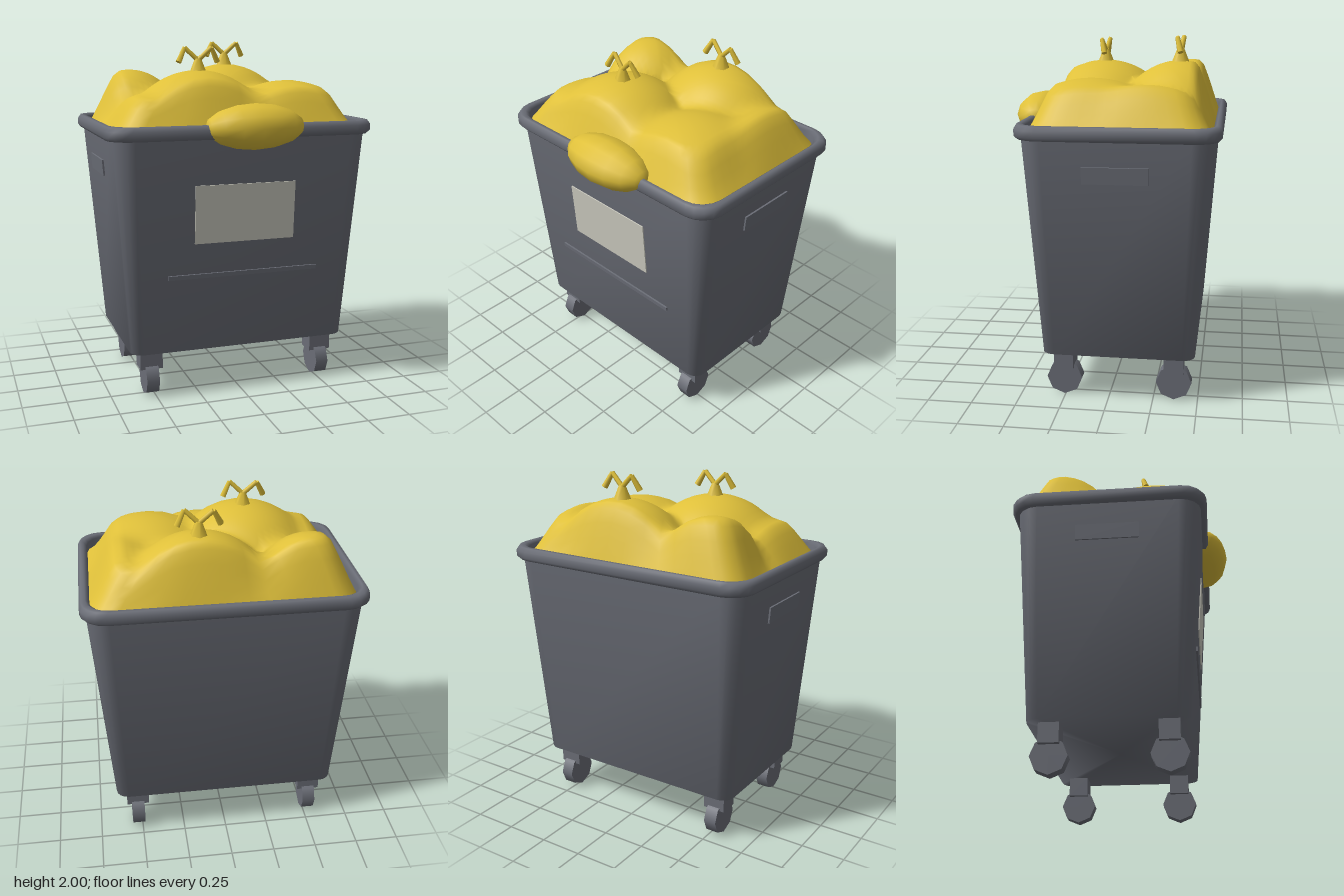
import * as THREE from 'three';

const mat = (name, color, side = THREE.FrontSide) => {
  const m = new THREE.MeshStandardMaterial({ color, side });
  m.name = name;
  return m;
};

// Rounded rectangle in the xz plane, with each straight side split into `split` pieces
function outline(hw, hd, r, y, split = 1) {
  const pts = [];
  const corners = [[1, 1], [-1, 1], [-1, -1], [1, -1]];
  const arc = 4;
  corners.forEach(([sx, sz], k) => {
    for (let i = 0; i <= arc; i++) {
      const a = (k + i / arc) * Math.PI / 2;
      pts.push(new THREE.Vector3(sx * (hw - r) + r * Math.cos(a), y, sz * (hd - r) + r * Math.sin(a)));
    }
    const [nx, nz] = corners[(k + 1) % 4];
    const a = (k + 1) * Math.PI / 2;
    const end = new THREE.Vector3(nx * (hw - r) + r * Math.cos(a), y, nz * (hd - r) + r * Math.sin(a));
    const start = pts[pts.length - 1];
    for (let i = 1; i < split; i++) pts.push(start.clone().lerp(end, i / split));
  });
  return pts;
}

// Smooth skin through a stack of closed rings
function loft(rings) {
  const n = rings[0].length, index = [];
  for (let i = 0; i < rings.length - 1; i++) {
    for (let j = 0; j < n; j++) {
      const k = (j + 1) % n;
      const a = i * n + j, b = i * n + k, c = a + n, d = b + n;
      index.push(a, c, b, b, c, d);
    }
  }
  const geo = new THREE.BufferGeometry().setFromPoints(rings.flat());
  geo.setIndex(index);
  geo.computeVertexNormals();
  return geo;
}

// Bulging bags: centre x, z, height, radius x, radius z
const MOUNDS = [
  [-0.18, 0.12, 0.34, 0.42, 0.42], [0.13, -0.35, 0.36, 0.42, 0.38],
  [-0.47, -0.38, 0.33, 0.34, 0.34], [0.36, 0.12, 0.275, 0.42, 0.45],
  [0.56, -0.2, 0.26, 0.28, 0.42], [-0.56, 0.18, 0.21, 0.32, 0.42],
];
function moundHeight(x, z) {
  let sum = 0.1 ** 10;
  for (const [cx, cz, h, rx, rz] of MOUNDS) {
    const d2 = ((x - cx) / rx) ** 2 + ((z - cz) / rz) ** 2;
    if (d2 < 1) sum += (h * (1 - d2) ** 0.6) ** 10;
  }
  return Math.min(0.36, sum ** 0.1);
}

export function createModel() {
  const group = new THREE.Group();
  const grey = mat('binGrey', 0x6a6d76, THREE.DoubleSide);
  const yellow = mat('bagYellow', 0xdfc03a, THREE.DoubleSide);
  const cream = mat('labelCream', 0xcac9be);
  const CZ = -0.0575; // centre of the bin in z

  const add = (name, geo, m, x = 0, y = 0, z = 0, parent = group) => {
    const mesh = new THREE.Mesh(geo, m);
    mesh.name = name;
    mesh.position.set(x, y, z);
    parent.add(mesh);
    return mesh;
  };

  // Tapered tub with closed floor
  add('tub', loft([
    outline(0, 0, 0, 0.27),
    outline(0.645, 0.425, 0.07, 0.27),
    outline(0.745, 0.515, 0.12, 1.5),
  ]), grey, 0, 0, CZ);

  // Rolled rim
  add('rim', loft([
    [0.735, 0.505, 1.48], [0.76, 0.533, 1.482], [0.775, 0.5475, 1.5], [0.775, 0.5475, 1.535],
    [0.762, 0.535, 1.558], [0.74, 0.515, 1.56], [0.722, 0.5, 1.545], [0.718, 0.496, 1.44],
  ].map(([w, d, y]) => outline(w, d, 0.13, y))), grey, 0, 0, CZ);

  // Heap of bags filling the tub
  const rings = [];
  const STEPS = 20;
  for (let i = 0; i <= STEPS; i++) {
    const s = 1 - i / STEPS;
    const t = Math.min(1, (1 - s) / 0.22);
    const edge = t * (1.3 - 0.3 * t);
    rings.push(outline(0.72, 0.5, 0.13, 0, 10).map((p) => {
      const x = p.x * s, z = p.z * s;
      return new THREE.Vector3(x, 1.5 + edge * moundHeight(x, z + CZ), z);
    }));
  }
  add('bagHeap', loft(rings), yellow, 0, 0, CZ);

  // Bag hanging over the front rim
  const bag = add('overhangingBag', new THREE.SphereGeometry(1, 12, 8), yellow, 0.045, 1.543, 0.453);
  bag.rotation.z = Math.PI / 2;
  bag.scale.set(0.128, 0.285, 0.152);

  // Tied knots with two bent ears
  const strand = (parent, a, b, r0, r1) => {
    const dir = b.clone().sub(a);
    const m = add('knotEar', new THREE.CylinderGeometry(r1, r0, dir.length(), 6), yellow, 0, 0, 0, parent);
    m.position.copy(a).addScaledVector(dir, 0.5);
    m.quaternion.setFromUnitVectors(new THREE.Vector3(0, 1, 0), dir.normalize());
  };
  for (const [x, y, z] of [[-0.18, 1.83, 0.12], [0.13, 1.855, -0.35]]) {
    const knot = new THREE.Group();
    knot.name = 'bagKnot';
    knot.position.set(x, y, z);
    group.add(knot);
    add('knotBase', new THREE.CylinderGeometry(0.018, 0.05, 0.08, 6), yellow, 0, 0.035, 0, knot);
    for (const s of [-1, 1]) {
      const a = new THREE.Vector3(0, 0.065, 0);
      const b = new THREE.Vector3(s * 0.075, 0.135, s * 0.014);
      const c = new THREE.Vector3(s * 0.116, 0.055, -s * 0.006);
      strand(knot, a, b, 0.014, 0.013);
      strand(knot, b, c, 0.013, 0.018);
    }
  }

  // Label and raised rib on the sloping front
  const frontZ = (y) => CZ + 0.425 + (y - 0.27) / 1.23 * 0.09;
  const tiltX = Math.atan(0.09 / 1.23);
  add('frontLabel', new THREE.BoxGeometry(0.585, 0.33, 0.008), cream, 0, 1.065, frontZ(1.065) + 0.002).rotation.x = tiltX;
  add('frontRib', new THREE.BoxGeometry(0.885, 0.025, 0.016), grey, 0, 0.713, frontZ(0.713) + 0.002).rotation.x = tiltX;

  for (const sx of [-1, 1]) {
    // Side grip plates
    const grip = add('sideGrip', new THREE.BoxGeometry(0.016, 0.09, 0.35), grey, sx * 0.731, 1.305, CZ);
    grip.rotation.z = -sx * Math.atan(0.1 / 1.23);

    // Casters
    for (const z of [0.255, -0.365]) {
      add('casterBracket', new THREE.BoxGeometry(0.13, 0.115, 0.11), grey, sx * 0.522, 0.218, z);
      const wheel = add('casterWheel', new THREE.CylinderGeometry(0.1, 0.1, 0.074, 8), grey, sx * 0.522, 0.1, z);
      wheel.rotation.z = Math.PI / 2;
    }
  }
  return group;
}
